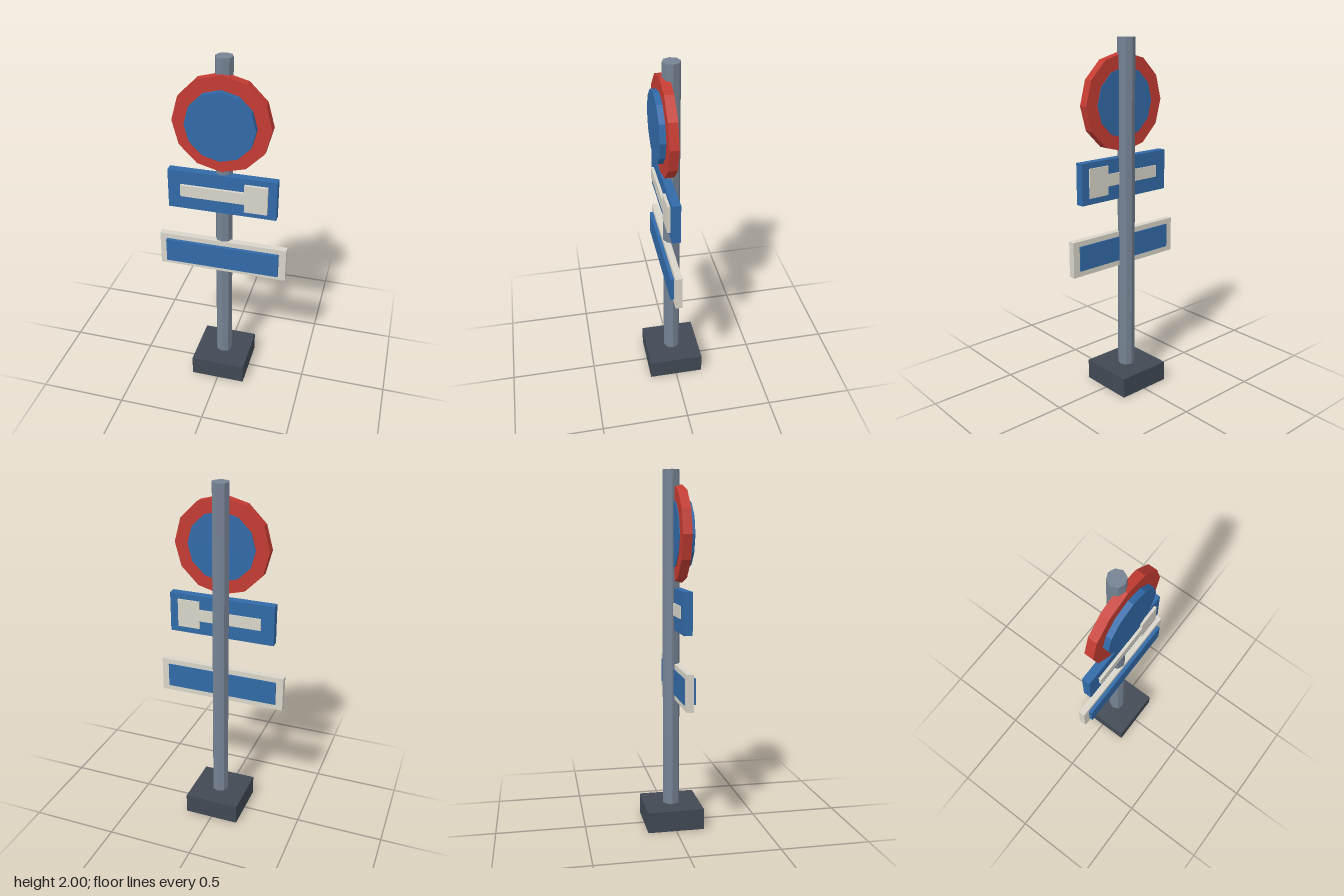
import * as THREE from 'three';

const material = (color) => new THREE.MeshStandardMaterial({ color, flatShading: true });

export function createModel() {
  const group = new THREE.Group();
  const steel = material(0x768394);
  const dark = material(0x414954);
  const red = material(0xc43c33);
  const blue = material(0x316aa8);
  const cream = material(0xd9d5ca);

  const add = (name, geometry, mat) => {
    const mesh = new THREE.Mesh(geometry, mat);
    mesh.name = name;
    group.add(mesh);
    return mesh;
  };

  // Box given by its limits on each axis
  const box = (name, mat, [x0, x1], [y0, y1], [z0, z1]) =>
    add(name, new THREE.BoxGeometry(x1 - x0, y1 - y0, z1 - z0), mat)
      .position.set((x0 + x1) / 2, (y0 + y1) / 2, (z0 + z1) / 2);

  // Twelve-sided disc facing forward
  const disc = (name, mat, radius, z0, z1) =>
    add(name, new THREE.CylinderGeometry(radius, radius, z1 - z0, 12).rotateX(Math.PI / 2), mat)
      .position.set(0, 1.655, (z0 + z1) / 2);

  // Base and octagonal pole
  box('base', dark, [-0.16, 0.16], [0, 0.117], [-0.16, 0.16]);
  add('pole', new THREE.CylinderGeometry(0.048, 0.048, 1.9, 8), steel).position.y = 1.05;

  // Round sign
  disc('roundSignRim', red, 0.267, 0.011, 0.062);
  disc('roundSignFace', blue, 0.191, 0.006, 0.094);

  // Direction sign with a one-piece arrow showing on both sides
  box('arrowPanel', blue, [-0.304, 0.304], [1.13, 1.36], [0.009, 0.056]);
  const outline = [
    [-0.23, 1.212], [0.128, 1.212], [0.128, 1.165], [0.256, 1.165],
    [0.256, 1.328], [0.128, 1.328], [0.128, 1.28], [-0.23, 1.28],
  ].map(([x, y]) => new THREE.Vector2(x, y));
  const arrow = new THREE.ExtrudeGeometry(new THREE.Shape(outline), { depth: 0.07, bevelEnabled: false });
  add('arrow', arrow, cream).position.z = 0.002;

  // Lower name plate
  box('platePanel', cream, [-0.368, 0.368], [0.735, 0.937], [0.011, 0.049]);
  box('plateFace', blue, [-0.327, 0.327], [0.767, 0.907], [0.005, 0.069]);

  return group;
}
